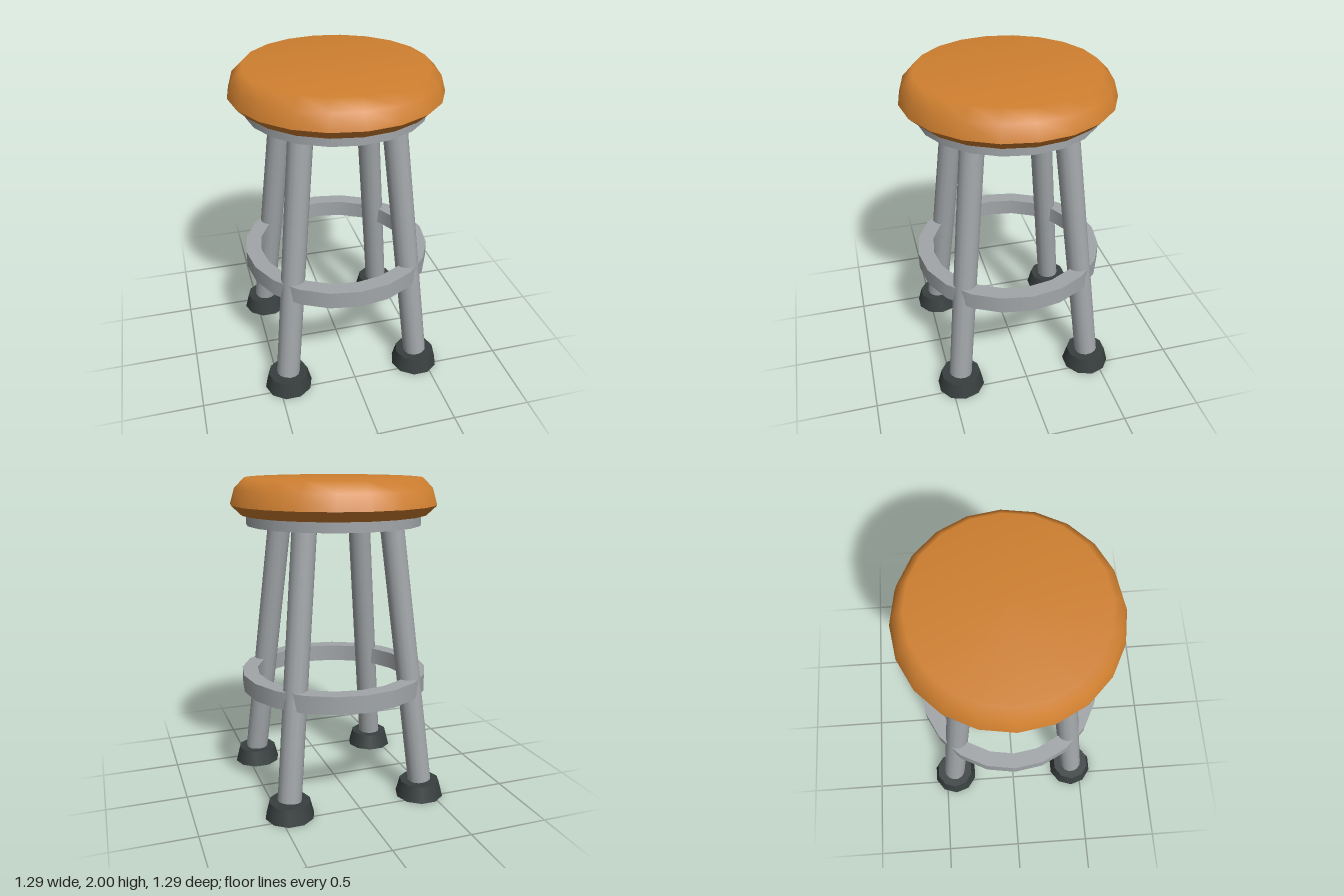
import * as THREE from 'three';
import { mergeGeometries } from 'three/addons/utils/BufferGeometryUtils.js';

const flat = (color, name) => {
  const m = new THREE.MeshStandardMaterial({ color });
  m.name = name;
  return m;
};

// Turned solid: each profile is smooth inside, with a sharp crease between profiles
function turned(name, material, segments, profiles) {
  const shells = profiles.map((p) =>
    new THREE.LatheGeometry(p.map(([r, y]) => new THREE.Vector2(r, y)), segments));
  const mesh = new THREE.Mesh(mergeGeometries(shells), material);
  mesh.name = name;
  return mesh;
}

export function createModel() {
  const leather = flat(0xd08030, 'orange leather');
  const metal = flat(0xa2a6a9, 'grey metal');
  const rubber = flat(0x383f3f, 'dark rubber');
  const stool = new THREE.Group();
  stool.name = 'stool';

  // Padded seat with a bevelled underside
  stool.add(turned('cushion', leather, 20, [
    [[0, 1.78], [0.58, 1.78]],
    [[0.58, 1.78], [0.643, 1.84]],
    [[0.643, 1.84], [0.615, 1.935], [0.55, 2], [0, 2]],
  ]));

  // Plate under the seat
  stool.add(turned('seatPlate', metal, 20, [
    [[0, 1.717], [0.548, 1.717]],
    [[0.548, 1.717], [0.548, 1.78]],
  ]));

  // Foot rest ring
  const [inner, outer, low, high] = [0.5, 0.6, 0.67, 0.78];
  stool.add(turned('footRing', metal, 20, [
    [[inner, low], [outer, low]],
    [[outer, low], [outer, high]],
    [[outer, high], [inner, high]],
    [[inner, high], [inner, low]],
  ]));

  // Splayed legs with rubber feet, one per corner
  const up = new THREE.Vector3(0, 1, 0);
  for (const sx of [-1, 1]) {
    for (const sz of [-1, 1]) {
      const bottom = new THREE.Vector3(0.435 * sx, 0.1, 0.435 * sz);
      const top = new THREE.Vector3(0.273 * sx, 1.75, 0.273 * sz);
      const axis = top.clone().sub(bottom);
      const leg = new THREE.Mesh(
        new THREE.CylinderGeometry(0.074, 0.074, axis.length(), 14), metal);
      leg.name = 'leg';
      leg.position.copy(bottom).add(top).multiplyScalar(0.5);
      leg.quaternion.setFromUnitVectors(up, axis.normalize());

      const foot = new THREE.Mesh(
        new THREE.CylinderGeometry(0.127, 0.153, 0.1, 10, 1, false, Math.PI / 2), rubber);
      foot.name = 'foot';
      foot.position.set(0.435 * sx, 0.05, 0.435 * sz);
      stool.add(leg, foot);
    }
  }
  return stool;
}
